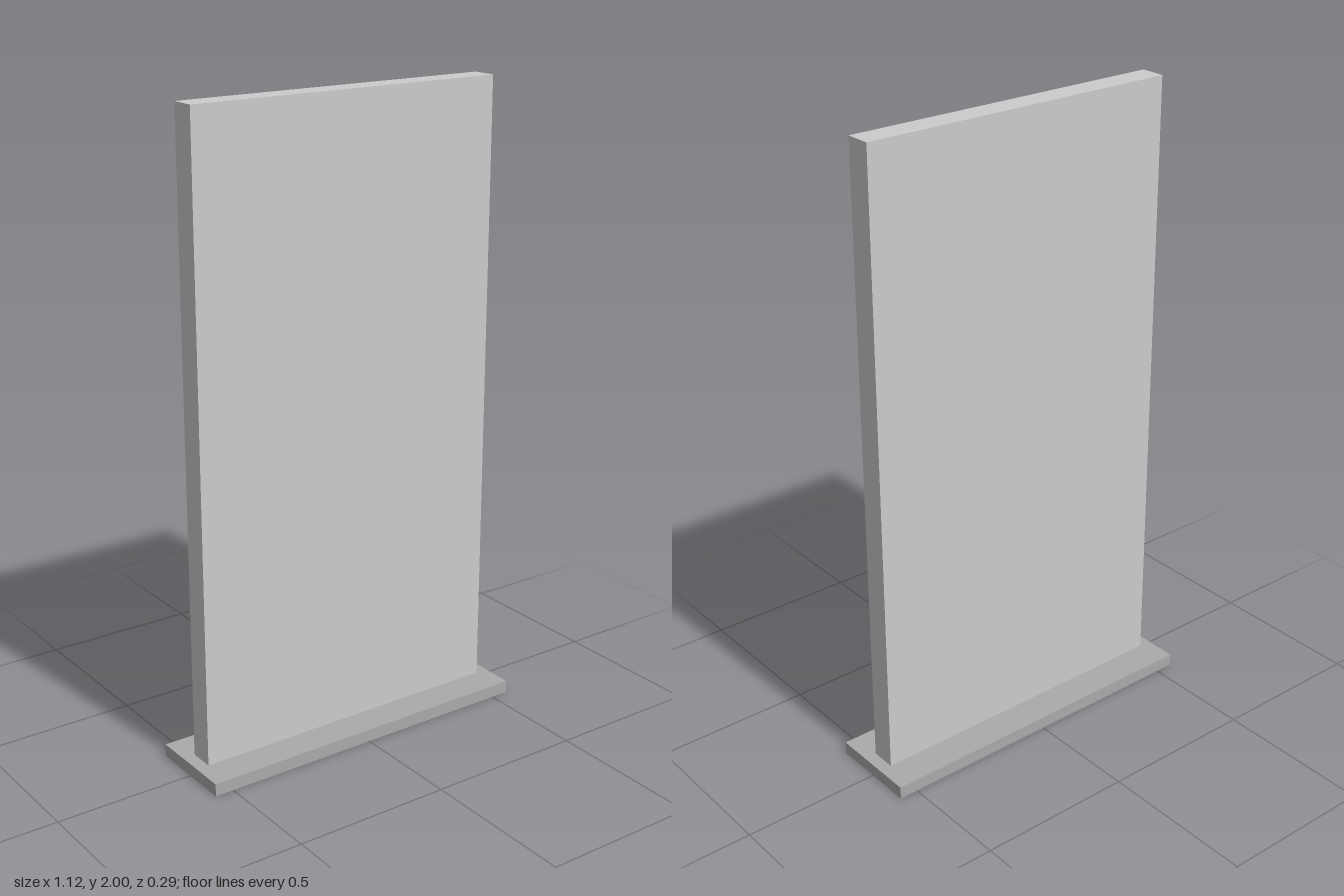
import * as THREE from 'three';

// Box standing with its underside at height y0
function slab(name, width, height, depth, y0, color) {
  const mesh = new THREE.Mesh(
    new THREE.BoxGeometry(width, height, depth),
    new THREE.MeshStandardMaterial({ color })
  );
  mesh.name = name;
  mesh.position.y = y0 + height / 2;
  return mesh;
}

export function createModel() {
  const model = new THREE.Group();
  model.name = 'freestandingPanel';

  // Flat foot plate
  model.add(slab('basePlate', 1.12, 0.04, 0.29, 0, 0xaaaaaa));

  // Upright panel, set into the plate just short of its underside
  model.add(slab('uprightPanel', 1.04, 1.998, 0.08, 0.002, 0xcccccc));

  return model;
}
